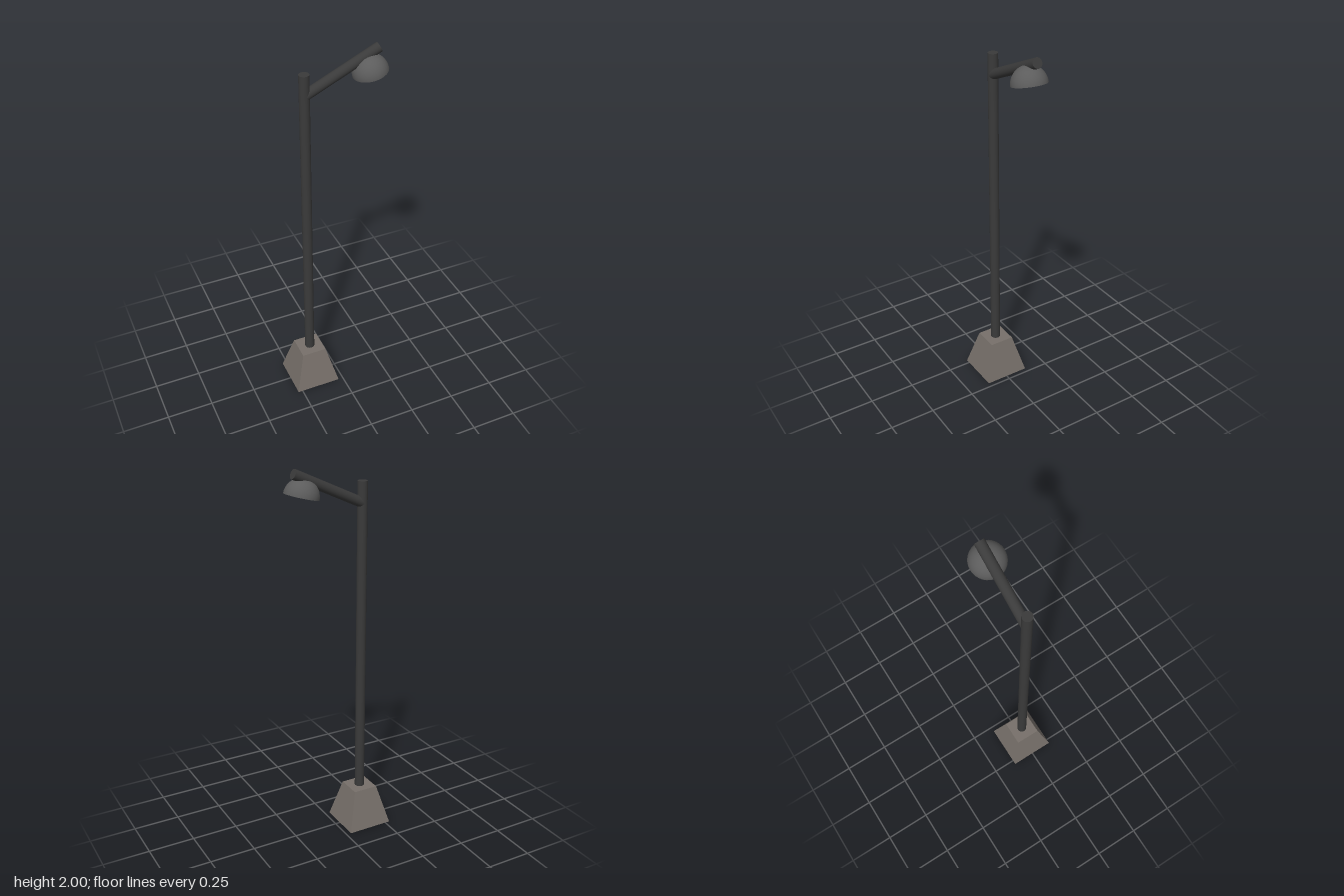
import * as THREE from 'three';

export function createModel() {
  const lamp = new THREE.Group();
  lamp.name = 'streetLamp';
  const stone = new THREE.MeshStandardMaterial({ color: 0x77706a, flatShading: true });
  const iron = new THREE.MeshStandardMaterial({ color: 0x3a3a3a });
  const shadeMetal = new THREE.MeshStandardMaterial({ color: 0x5c5c5c, side: THREE.DoubleSide });

  const postX = -0.151, axisZ = -0.002, poleRadius = 0.026;

  function add(name, geometry, material) {
    const mesh = new THREE.Mesh(geometry, material);
    mesh.name = name;
    lamp.add(mesh);
    return mesh;
  }

  // Round bar running between two points
  function bar(name, from, to) {
    const dir = to.clone().sub(from);
    const mesh = add(name, new THREE.CylinderGeometry(poleRadius, poleRadius, dir.length(), 32), iron);
    mesh.position.copy(from).add(to).multiplyScalar(0.5);
    mesh.quaternion.setFromUnitVectors(new THREE.Vector3(0, 1, 0), dir.normalize());
  }

  // Square tapered foot: a four-sided frustum turned to face the axes
  const baseHeight = 0.215;
  const foot = new THREE.CylinderGeometry(0.068 * Math.SQRT2, 0.124 * Math.SQRT2, baseHeight, 4);
  foot.rotateY(Math.PI / 4);
  add('base', foot, stone).position.set(postX, baseHeight / 2, axisZ);

  // Upright post and the slanted arm that starts inside it
  bar('post', new THREE.Vector3(postX, baseHeight - 0.01, axisZ), new THREE.Vector3(postX, 1.912, axisZ));
  bar('arm', new THREE.Vector3(postX, 1.802, axisZ), new THREE.Vector3(0.229, 1.976, axisZ));

  // Hollow half-sphere shade, open below and tilted outward
  const shade = add('lampShade',
    new THREE.SphereGeometry(0.089, 32, 12, 0, Math.PI * 2, 0, Math.PI / 2), shadeMetal);
  shade.position.set(0.182, 1.863, 0.008);
  shade.rotation.z = THREE.MathUtils.degToRad(13.8);

  return lamp;
}
